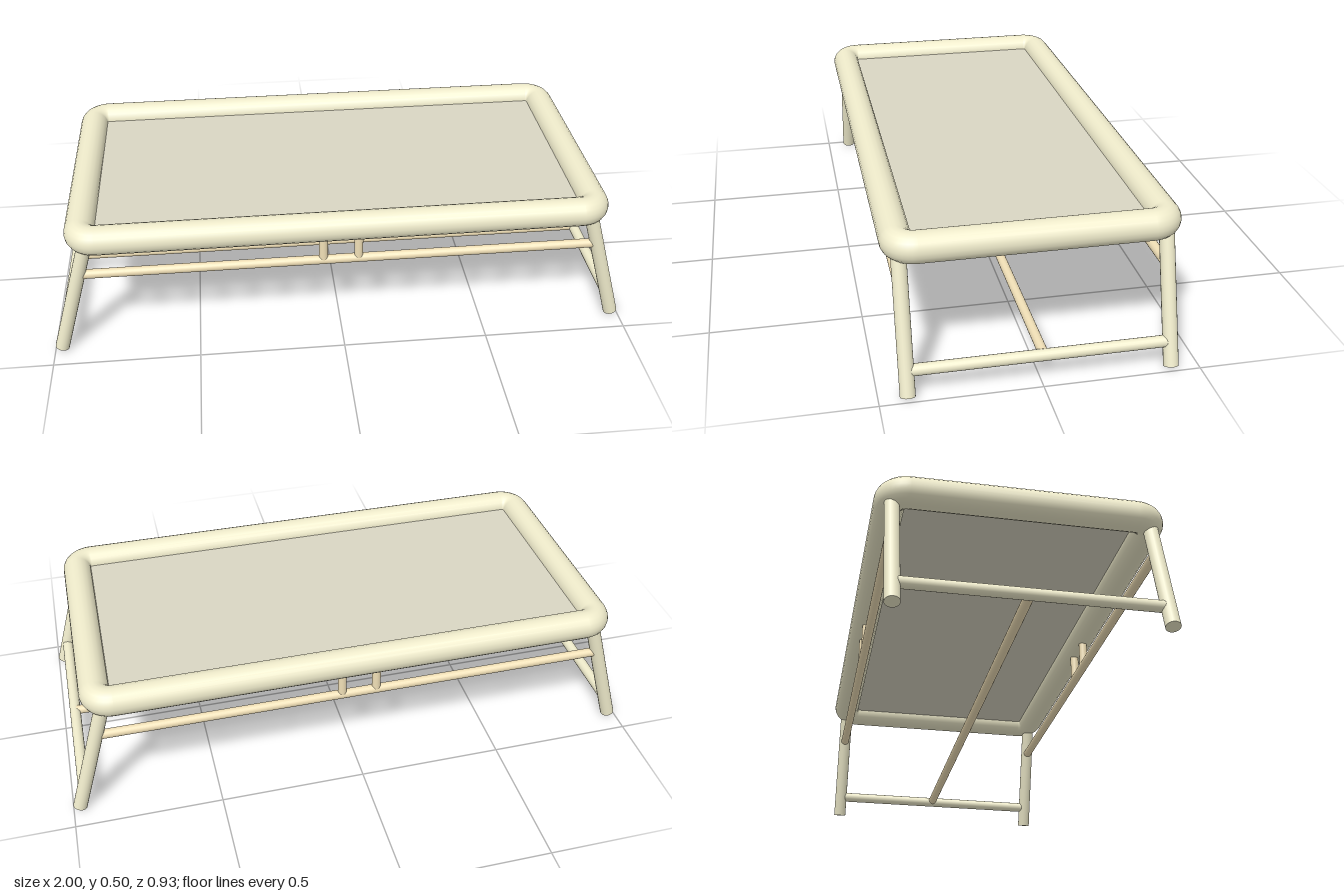
import * as THREE from 'three';

const cane = new THREE.MeshStandardMaterial({ color: 0xefebcb });
const wood = new THREE.MeshStandardMaterial({ color: 0xf0dfb6 });
const cloth = new THREE.MeshStandardMaterial({ color: 0xd9d5c2, side: THREE.DoubleSide });

// round bar between two points
function bar(name, from, to, radius, material) {
  const a = new THREE.Vector3(...from), b = new THREE.Vector3(...to);
  const dir = b.clone().sub(a);
  const mesh = new THREE.Mesh(new THREE.CylinderGeometry(radius, radius, dir.length(), 20), material);
  mesh.position.copy(a).add(b).multiplyScalar(0.5);
  mesh.quaternion.setFromUnitVectors(new THREE.Vector3(0, 1, 0), dir.normalize());
  mesh.name = name;
  return mesh;
}

// rounded rectangular ring: four straight tubes joined by quarter bends
function createFrame() {
  const frame = new THREE.Group();
  frame.name = 'topFrame';
  const X = 0.87, Z = 0.415, Y = 0.45, bend = 0.055, r = 0.05;
  const cx = X - bend, cz = Z - bend;
  for (const s of [-1, 1]) {
    frame.add(bar('longFrameTube', [-cx, Y, s * Z], [cx, Y, s * Z], r, cane));
    frame.add(bar('shortFrameTube', [s * X, Y, -cz], [s * X, Y, cz], r, cane));
  }
  [[1, 1], [-1, 1], [-1, -1], [1, -1]].forEach(([sx, sz], k) => {
    const g = new THREE.TorusGeometry(bend, r, 20, 10, Math.PI / 2);
    g.rotateX(Math.PI / 2).rotateY(-k * Math.PI / 2);
    const corner = new THREE.Mesh(g, cane);
    corner.name = 'frameCorner';
    corner.position.set(sx * cx, Y, sz * cz);
    frame.add(corner);
  });
  return frame;
}

export function createModel() {
  const model = new THREE.Group();
  model.name = 'lowBench';
  model.add(createFrame());

  // thin sheet stretched inside the frame
  const panel = new THREE.Mesh(new THREE.BoxGeometry(1.7, 0.008, 0.79), cloth);
  panel.name = 'panel';
  panel.position.y = 0.45;
  model.add(panel);

  for (const s of [-1, 1]) {
    // splayed legs with a cross bar at each end
    for (const t of [-1, 1]) {
      model.add(bar('leg', [s * 0.977, 0.007, t * 0.412], [s * 0.855, 0.42, t * 0.412], 0.024, cane));
    }
    model.add(bar('endCrossBar', [s * 0.955, 0.084, -0.405], [s * 0.955, 0.084, 0.405], 0.019, cane));

    // upper long rail with two short posts up to the frame
    const z = s * 0.412;
    model.add(bar('upperRail', [-0.88, 0.313, z], [0.88, 0.313, z], 0.016, wood));
    for (const x of [-0.065, 0.055]) {
      model.add(bar('railPost', [x, 0.315, z], [x, 0.42, z], 0.015, wood));
    }
  }

  // low rail joining the two cross bars
  model.add(bar('lowerRail', [-0.95, 0.088, -0.008], [0.95, 0.088, -0.008], 0.016, wood));
  return model;
}
